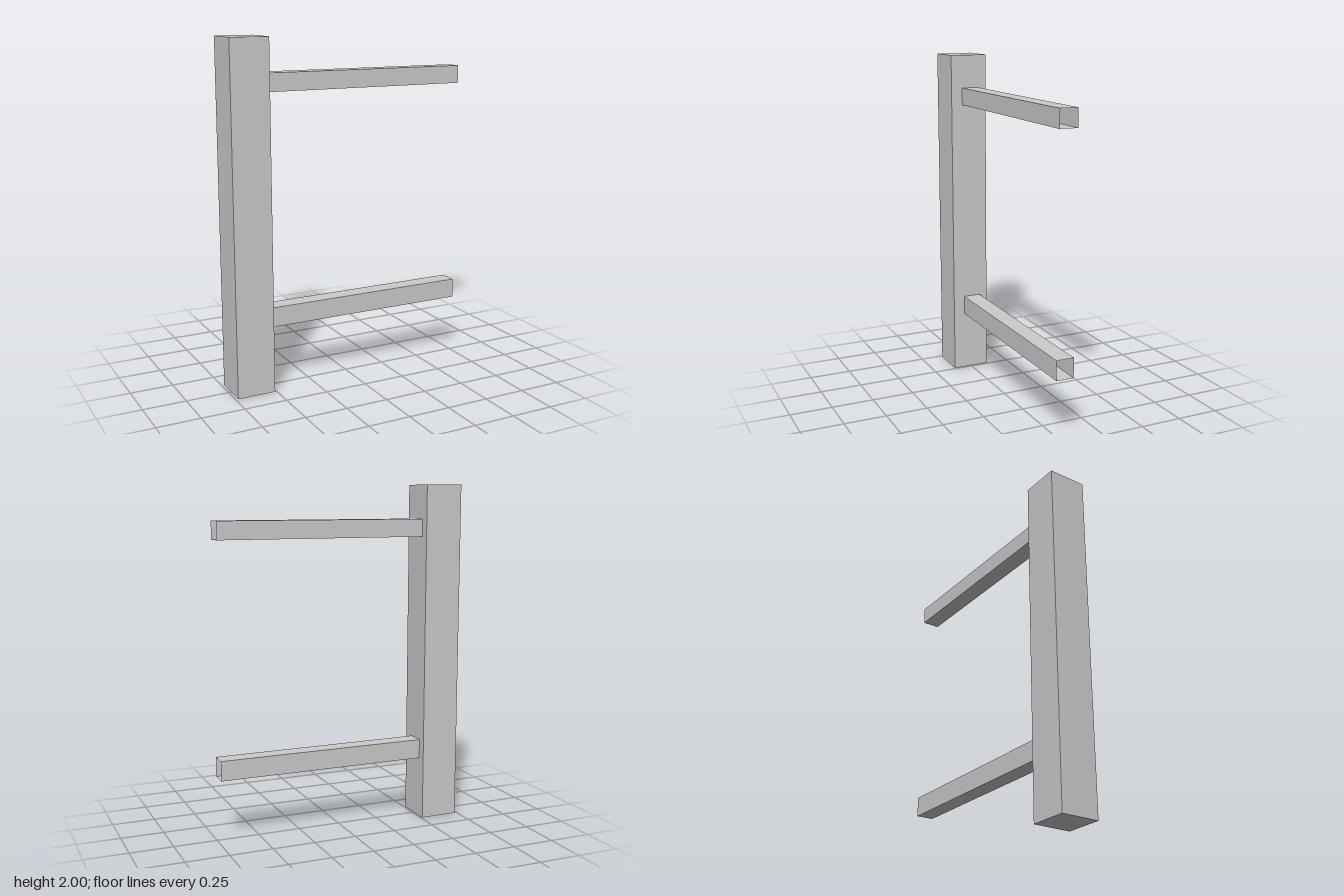
import * as THREE from 'three';

const solid = new THREE.MeshStandardMaterial({ color: 0xcccccc, flatShading: true });
const sheet = new THREE.MeshStandardMaterial({ color: 0xcccccc, flatShading: true, side: THREE.DoubleSide });

// Thin-walled square tube along x, open at both ends
function squareTube(length, height, depth) {
  return new THREE.CylinderGeometry(Math.SQRT1_2, Math.SQRT1_2, 1, 4, 1, true)
    .rotateY(Math.PI / 4)
    .rotateZ(Math.PI / 2)
    .scale(length, height, depth);
}

export function createModel() {
  const group = new THREE.Group();

  // Upright post
  const post = new THREE.Mesh(new THREE.BoxGeometry(0.225, 2, 0.225), solid);
  post.name = 'post';
  post.position.set(-0.622, 1, 0);
  group.add(post);

  // Two hollow rails reaching out from the post
  const xStart = -0.51, xEnd = 0.735;
  const rails = [
    { name: 'upperRail', bottom: 1.7, top: 1.803 },
    { name: 'lowerRail', bottom: 0.363, top: 0.478 },
  ];
  for (const { name, bottom, top } of rails) {
    const rail = new THREE.Mesh(squareTube(xEnd - xStart, top - bottom, 0.104), sheet);
    rail.name = name;
    rail.position.set((xStart + xEnd) / 2, (bottom + top) / 2, -0.009);
    group.add(rail);
  }
  return group;
}
